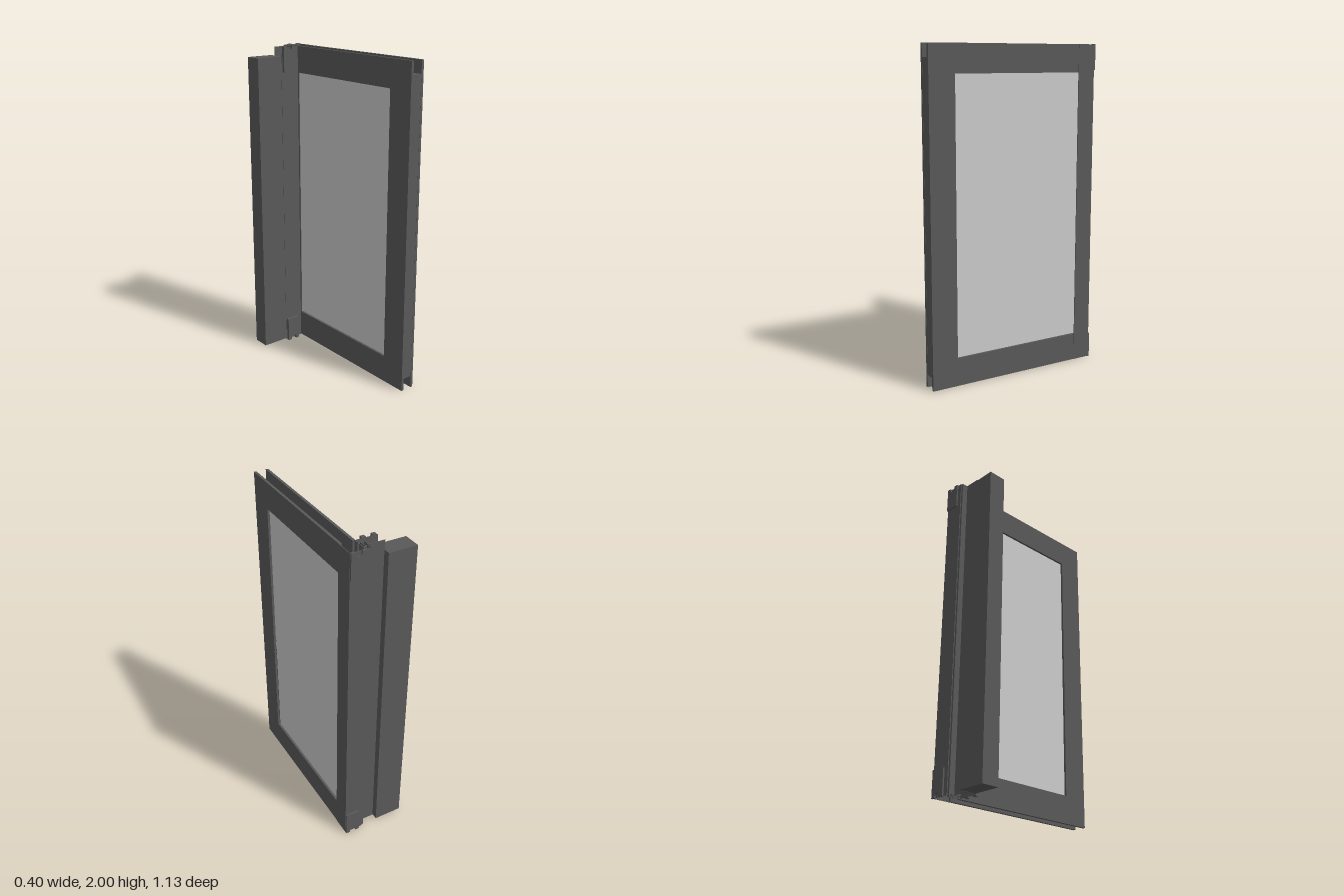
import * as THREE from 'three';

export function createModel() {
  const group = new THREE.Group();
  const frameMat = new THREE.MeshStandardMaterial({ color: 0x595959 });
  const glassMat = new THREE.MeshStandardMaterial({ color: 0xcccccc });

  const add = (name, geometry, material = frameMat) => {
    const mesh = new THREE.Mesh(geometry, material);
    mesh.name = name;
    group.add(mesh);
    return mesh;
  };

  // box given by its limits on each axis
  const box = (name, [x0, x1], [y0, y1], [z0, z1], material) =>
    add(name, new THREE.BoxGeometry(x1 - x0, y1 - y0, z1 - z0), material)
      .position.set((x0 + x1) / 2, (y0 + y1) / 2, (z0 + z1) / 2);

  // thin vertical sheet profile following axis-aligned [x, z] points
  const sheet = (name, points, [y0, y1], t = 0.004) => {
    const h = t / 2;
    for (let i = 1; i < points.length; i++) {
      const [ax, az] = points[i - 1], [bx, bz] = points[i];
      box(name, [Math.min(ax, bx) - h, Math.max(ax, bx) + h], [y0, y1],
        [Math.min(az, bz) - h, Math.max(az, bz) + h]);
    }
  };

  // door leaf: two hollow-backed skins with rails, front stile flanges and panes
  const skins = [
    { side: 'inner', x: [0.106, 0.122], pane: [0.12, 0.134] },
    { side: 'outer', x: [0.182, 0.198], pane: [0.17, 0.184] },
  ];
  for (const { side, x, pane } of skins) {
    box(side + 'BottomRail', x, [0.003, 0.175], [-0.445, 0.4]);
    box(side + 'TopRail', x, [1.83, 1.997], [-0.445, 0.4]);
    box(side + 'StileFlange', x, [0.003, 1.997], [0.4, 0.563]);
    box(side + 'Pane', pane, [0.15, 1.855], [-0.47, 0.4], glassMat);
  }
  box('frontStile', [0.12, 0.184], [0.08, 1.92], [0.395, 0.562]);

  // hinge stile: thin channel wrapping the back edge of the leaf
  sheet('hingeStile', [[0.198, -0.443], [0.198, -0.553], [0.083, -0.553],
    [0.083, -0.53]], [0.003, 1.997]);
  sheet('hingeStileInnerWall', [[0.108, -0.443], [0.108, -0.528], [0.094, -0.528]],
    [0.003, 1.997]);
  sheet('glazingStop', [[0.108, -0.487], [0.116, -0.487]], [0.003, 1.997]);

  // door post with its interlocking sheet
  box('post', [-0.2, -0.025], [0.01, 1.94], [-0.555, -0.445]);
  sheet('postFrontLip', [[-0.025, -0.445], [0.098, -0.445]], [0.005, 1.995]);
  sheet('postWeb', [[-0.025, -0.512], [0.07, -0.512]], [0.005, 1.995]);
  sheet('postHook', [[0.083, -0.548], [0.07, -0.548], [0.07, -0.472],
    [0.092, -0.472], [0.092, -0.515], [0.083, -0.515]], [0.005, 1.995]);

  // hinge plates with a half-round notch in the end edge, mirrored top and bottom
  const plate = (name, [x0, x1], [z0, z1]) => {
    const c = (x0 + x1) / 2, r = 0.02, h = 0.157;
    for (const top of [false, true]) {
      const s = new THREE.Shape();
      s.moveTo(x0, 0);
      s.lineTo(c - r, 0);
      s.absarc(c, 0.008, r, Math.PI, 0, true);
      s.lineTo(c + r, 0);
      s.lineTo(x1, 0);
      s.lineTo(x1, h);
      s.lineTo(x0, h);
      const g = new THREE.ExtrudeGeometry(s, { depth: z1 - z0, bevelEnabled: false, curveSegments: 12 });
      // turning about z keeps the faces outward
      if (top) g.translate(-c, 0, 0).rotateZ(Math.PI).translate(c, 2, 0);
      add(name, g.translate(0, 0, z0));
    }
  };
  plate('postHingePlate', [-0.02, 0.068], [-0.444, -0.424]);
  plate('leafHingePlate', [0.108, 0.198], [-0.565, -0.553]);

  return group;
}
